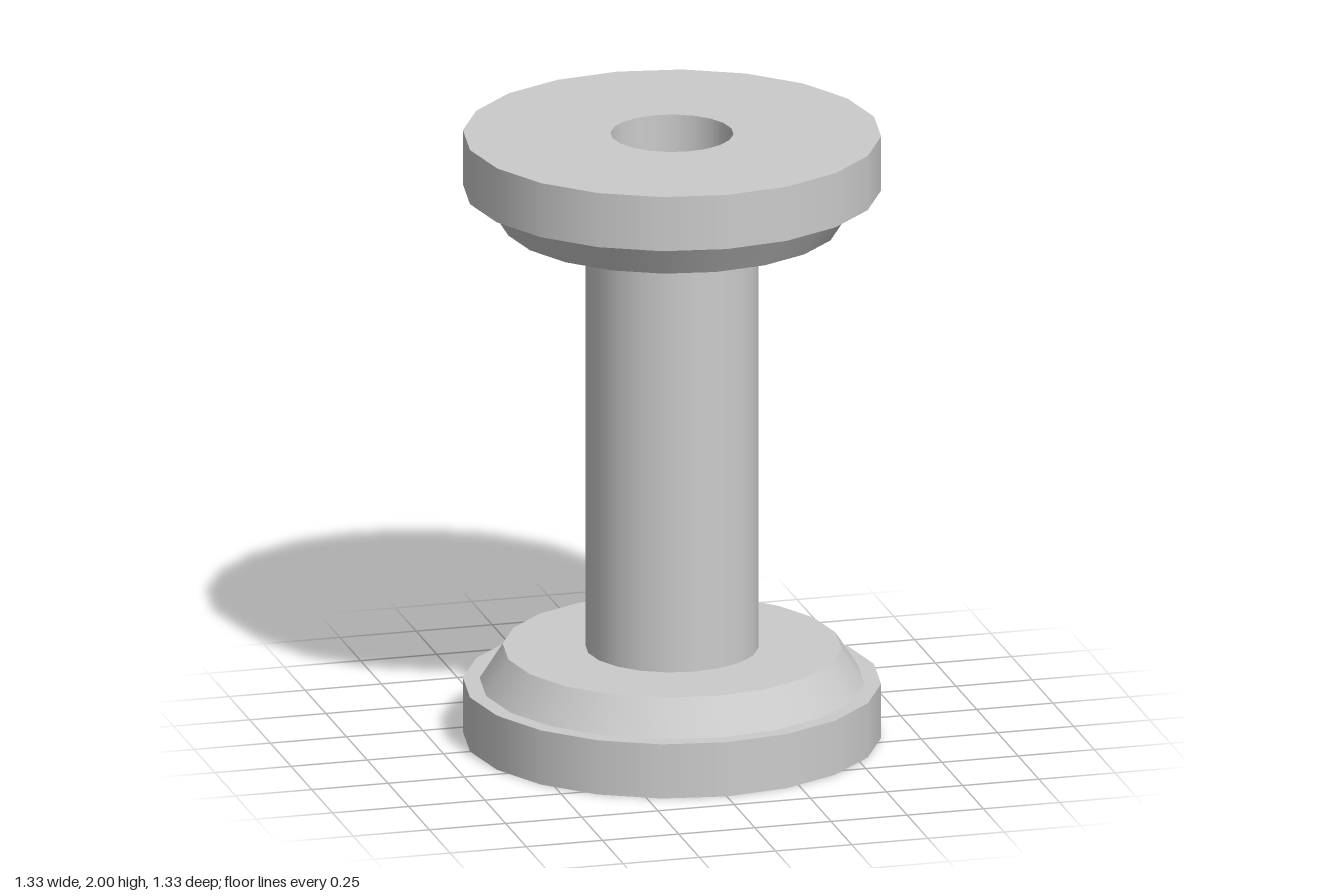
import * as THREE from 'three';
import { mergeGeometries } from 'three/addons/utils/BufferGeometryUtils.js';

const SIDES = 20;
const HEIGHT = 2;
const BORE = 0.195;
const POST = 0.275;
const FLANGE = 0.295; // height of one flange, rim plus bevel

// Revolves a profile of [radius, y] points, smooth around the axis and sharp at each profile corner
function sharpLathe(profile) {
  const bands = [];
  for (let i = 0; i < profile.length - 1; i++) {
    const pair = [profile[i], profile[i + 1]].map(([r, y]) => new THREE.Vector2(r, y));
    bands.push(new THREE.LatheGeometry(pair, SIDES));
  }
  return mergeGeometries(bands);
}

export function createModel() {
  const group = new THREE.Group();
  const material = new THREE.MeshStandardMaterial({ color: 0xcccccc });
  const add = (name, profile) => {
    const mesh = new THREE.Mesh(sharpLathe(profile), material);
    mesh.name = name;
    group.add(mesh);
  };

  // Flange: flat underside, straight rim, small step, bevel up to the post
  const flange = [[BORE, 0], [0.663, 0], [0.663, 0.18], [0.61, 0.18], [0.537, FLANGE], [POST, FLANGE]];
  add('bottomFlange', flange);
  add('topFlange', flange.map(([r, y]) => [r, HEIGHT - y]).reverse());

  // Post between the flanges
  add('post', [[POST, FLANGE], [POST, HEIGHT - FLANGE]]);

  // Through hole, facing the axis
  add('bore', [[BORE, HEIGHT], [BORE, 0]]);

  return group;
}
